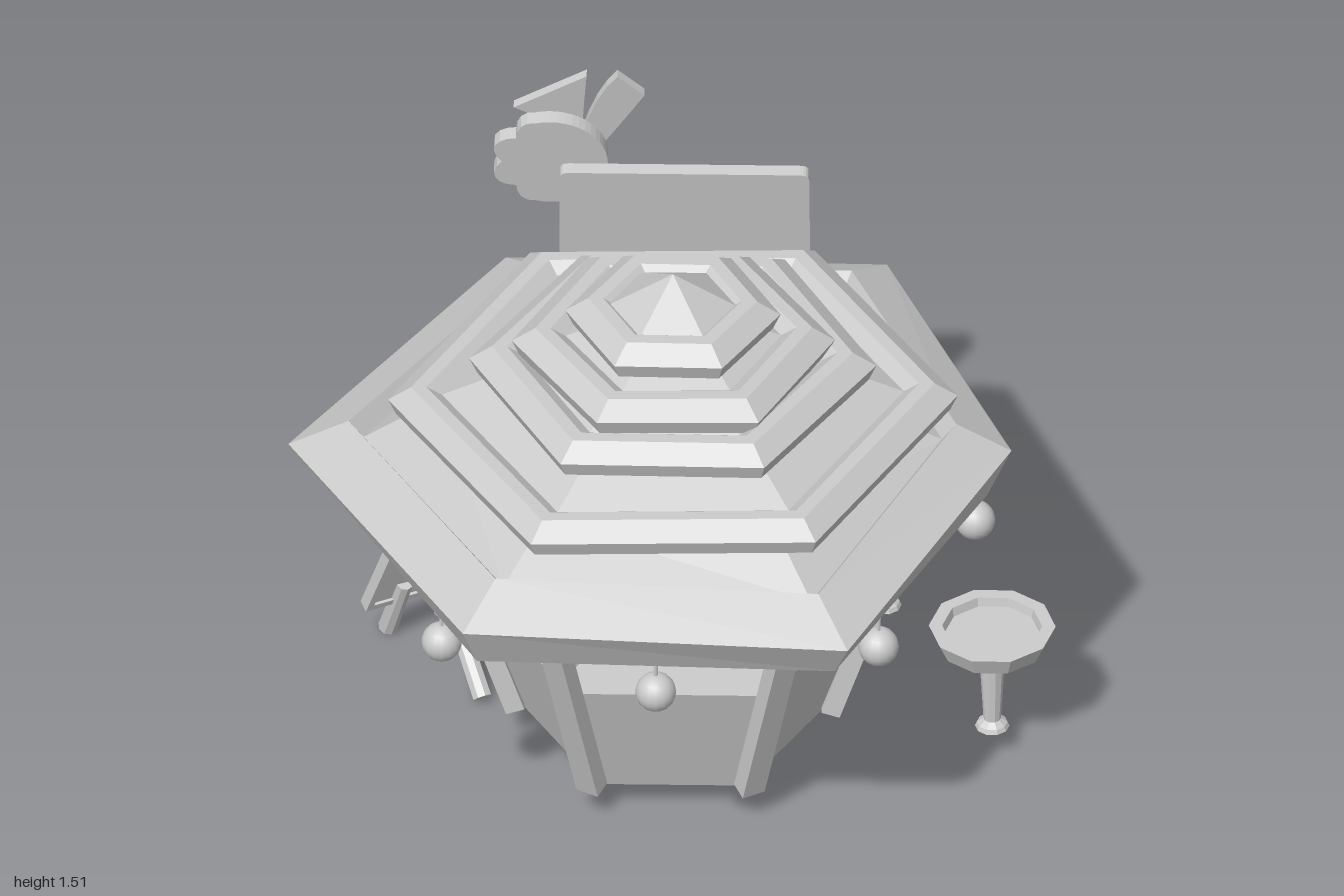
import * as THREE from 'three';

const mat = new THREE.MeshStandardMaterial({ color: 0xcccccc, flatShading: true, side: THREE.DoubleSide });
const smooth = new THREE.MeshStandardMaterial({ color: 0xcccccc });

function add(parent, name, geo, x = 0, y = 0, z = 0, material = mat) {
  const m = new THREE.Mesh(geo, material);
  m.name = name;
  m.position.set(x, y, z);
  parent.add(m);
  return m;
}

function group(parent, name, x = 0, y = 0, z = 0) {
  const g = new THREE.Group();
  g.name = name;
  g.position.set(x, y, z);
  parent.add(g);
  return g;
}

// Turned profile; six sides put corners on the x axis
function lathe(points, sides = 6) {
  return new THREE.LatheGeometry(points.map(p => new THREE.Vector2(...p)), sides, Math.PI / 2);
}

// Straight bar between two points
function bar(parent, name, a, b, r0, r1) {
  const p = new THREE.Vector3(...a), d = new THREE.Vector3(...b).sub(p);
  const m = add(parent, name, new THREE.CylinderGeometry(r1, r0, d.length(), 8));
  m.position.copy(p).addScaledVector(d, 0.5);
  m.quaternion.setFromUnitVectors(new THREE.Vector3(0, 1, 0), d.normalize());
  return m;
}

function plate(shape, depth) {
  return new THREE.ExtrudeGeometry(shape, { depth, bevelEnabled: false, curveSegments: 5 }).translate(0, 0, -depth / 2);
}

function polygon(points) {
  return new THREE.Shape(points.map(p => new THREE.Vector2(...p)));
}

// Uneven lowest roof tier, lofted through rings of six corners
function eaves() {
  const corners = [[-1, 0.91, -0.01], [-0.53, 0.95, 0.87], [0.47, 0.93, 0.9], [0.88, 0.965, 0.06], [0.54, 0.9, -0.84], [-0.45, 0.91, -0.84]];
  const rings = [
    [0.8, y => y + 0.02], [0.88, () => 0.82], [0.93, () => 0.82], [1, y => y],
    [0.84, y => y + 0.08], [0.8, y => y + 0.03], [0.6, () => 1.07],
  ];
  const pos = [], idx = [];
  for (const [s, f] of rings)
    for (const [x, y, z] of corners) pos.push(x * s - 0.02 * (1 - s), f(y), z * s + 0.02 * (1 - s));
  for (let r = 0; r < rings.length - 1; r++)
    for (let i = 0; i < 6; i++) {
      const a = r * 6 + i, b = r * 6 + (i + 1) % 6;
      idx.push(a, b, a + 6, b, b + 6, a + 6);
    }
  const g = new THREE.BufferGeometry();
  g.setAttribute('position', new THREE.Float32BufferAttribute(pos, 3));
  g.setIndex(idx);
  g.computeVertexNormals();
  return g;
}

function buildRoof(parent) {
  const roof = group(parent, 'roof');
  add(roof, 'eaves', eaves());
  // radius, height, tilt, turn
  const tiers = [[0.74, 1.05, 0.008, 0.02], [0.53, 1.165, 0.02, -0.04], [0.42, 1.235, -0.02, 0.05], [0.28, 1.325, 0.01, -0.03]];
  for (const [r, y, tilt, turn] of tiers) {
    const t = add(roof, 'roofTier', lathe([
      [r - 0.14, 0.05], [r - 0.02, 0], [r, 0.045], [r - 0.06, 0.085],
      [r - 0.1, 0.085], [r - 0.14, 0.06], [Math.max(r - 0.3, 0), 0.13],
    ]), 0, y, 0.02);
    t.rotation.set(0, turn, tilt);
  }
  add(roof, 'roofCap', lathe([[0.18, 1.36], [0.19, 1.385], [0, 1.5]]), 0, 0, 0.03);
}

function buildHut(parent) {
  // Flared counter wall with thickness and a floor
  add(parent, 'counterWall', lathe([[0, 0.1], [0.32, 0.1], [0.32, 0.085], [0.385, 0.085], [0.52, 0.46], [0.45, 0.46], [0.33, 0.12], [0, 0.12]]), 0, 0, 0.01);
  // Leaning posts at the six corners
  const lean = Math.atan2(0.29, 0.87);
  for (let i = 0; i < 6; i++) {
    const g = group(parent, 'postMount', 0, 0, 0.01);
    g.rotation.y = i * Math.PI / 3;
    const post = add(g, 'post', new THREE.BoxGeometry(0.05, 0.92, 0.065), 0.555, 0.53, 0);
    post.rotation.z = -lean;
  }
}

function buildLanterns(parent) {
  const spots = [[0.785, 0.05], [0.545, 0.61], [-0.03, 0.82], [-0.59, 0.61], [-0.8, -0.02], [-0.54, -0.5], [0.035, -0.75], [0.58, -0.57]];
  for (const [x, z] of spots) {
    const g = group(parent, 'lantern', x, 0.735, z);
    add(g, 'lanternBall', new THREE.SphereGeometry(0.053, 16, 12), 0, 0, 0, smooth);
    add(g, 'lanternCord', new THREE.CylinderGeometry(0.006, 0.006, 0.14, 6), 0, 0.11, 0);
  }
}

function buildStool(parent, x, top, z) {
  const g = group(parent, 'stool', x, 0, z);
  add(g, 'stoolSeat', lathe([[0, top - 0.055], [0.14, top - 0.055], [0.165, top], [0.13, top], [0.125, top - 0.025], [0, top - 0.025]], 10));
  add(g, 'stoolLeg', lathe([[0, 0.08], [0.045, 0.08], [0.04, 0.092], [0.023, 0.105], [0.035, top - 0.07], [0.045, top - 0.05]], 10));
}

function buildEasel(parent) {
  const g = group(parent, 'easelSign', -0.66, 0, -0.44);
  g.rotation.y = Math.atan2(-0.45, -0.89);
  const panel = group(g, 'easelPanel', 0, 0.13, 0);
  panel.rotation.x = -0.38;
  const outline = k => [[-0.17 + k, k], [0.17 - k, k], [0.135 - k, 0.315 - k], [-0.135 + k, 0.315 - k]];
  const frame = polygon(outline(0));
  frame.holes.push(polygon(outline(0.02)));
  add(panel, 'easelFrame', plate(frame, 0.035));
  add(panel, 'easelBoard', plate(polygon(outline(0.015)), 0.02));
  for (const s of [-1, 1]) bar(g, 'easelLeg', [s * 0.08, 0.01, 0.04], [s * 0.07, 0.2, -0.04], 0.026, 0.022);
  bar(g, 'easelStrut', [0, 0.02, -0.36], [0, 0.28, -0.09], 0.026, 0.022);
}

function buildRoofSign(parent) {
  const g = group(parent, 'roofSign', 0, 1.04, -0.825);
  g.rotation.x = 0.18;
  // Board with rounded corners
  const w = 0.325, h = 0.2, r = 0.025, board = new THREE.Shape();
  board.moveTo(-w + r, -h).lineTo(w - r, -h);
  board.quadraticCurveTo(w, -h, w, -h + r).lineTo(w, h - r);
  board.quadraticCurveTo(w, h, w - r, h).lineTo(-w + r, h);
  board.quadraticCurveTo(-w, h, -w, h - r).lineTo(-w, -h + r);
  board.quadraticCurveTo(-w, -h, -w + r, -h);
  add(g, 'signBoard', plate(board, 0.035), 0.015, 0, 0);
  // Round ornament with a scalloped outer edge
  const pts = [];
  for (let i = 0; i < 48; i++) {
    const a = i / 48 * Math.PI * 2;
    const rad = Math.cos(a) < -0.3 ? 0.125 + 0.03 * Math.abs(Math.sin(a * 4)) : 0.15;
    pts.push([Math.cos(a) * rad, Math.sin(a) * rad]);
  }
  add(g, 'signOrnament', plate(polygon(pts), 0.04), -0.335, 0.18, -0.06);
  // Two flared fins with curved sides
  const fin = (ax, ay, bx, by) => {
    const s = new THREE.Shape();
    s.moveTo(-0.015, 0).quadraticCurveTo(ax * 0.3, ay * 0.75, ax, ay);
    s.lineTo(bx, by).quadraticCurveTo(bx * 0.45, by * 0.35, 0.02, 0);
    return s;
  };
  add(g, 'signFin', plate(fin(-0.16, 0.19, 0.03, 0.31), 0.025), -0.27, 0.15, -0.095);
  add(g, 'signFin', plate(fin(0.1, 0.32, 0.17, 0.25), 0.025), -0.26, 0.14, -0.095);
}

export function createModel() {
  const model = new THREE.Group();
  model.name = 'beachHut';
  buildHut(model);
  buildRoof(model);
  buildLanterns(model);
  buildStool(model, 0.83, 0.4, 0.06);
  buildStool(model, 0.54, 0.345, -0.465);
  buildEasel(model);
  buildRoofSign(model);
  return model;
}
